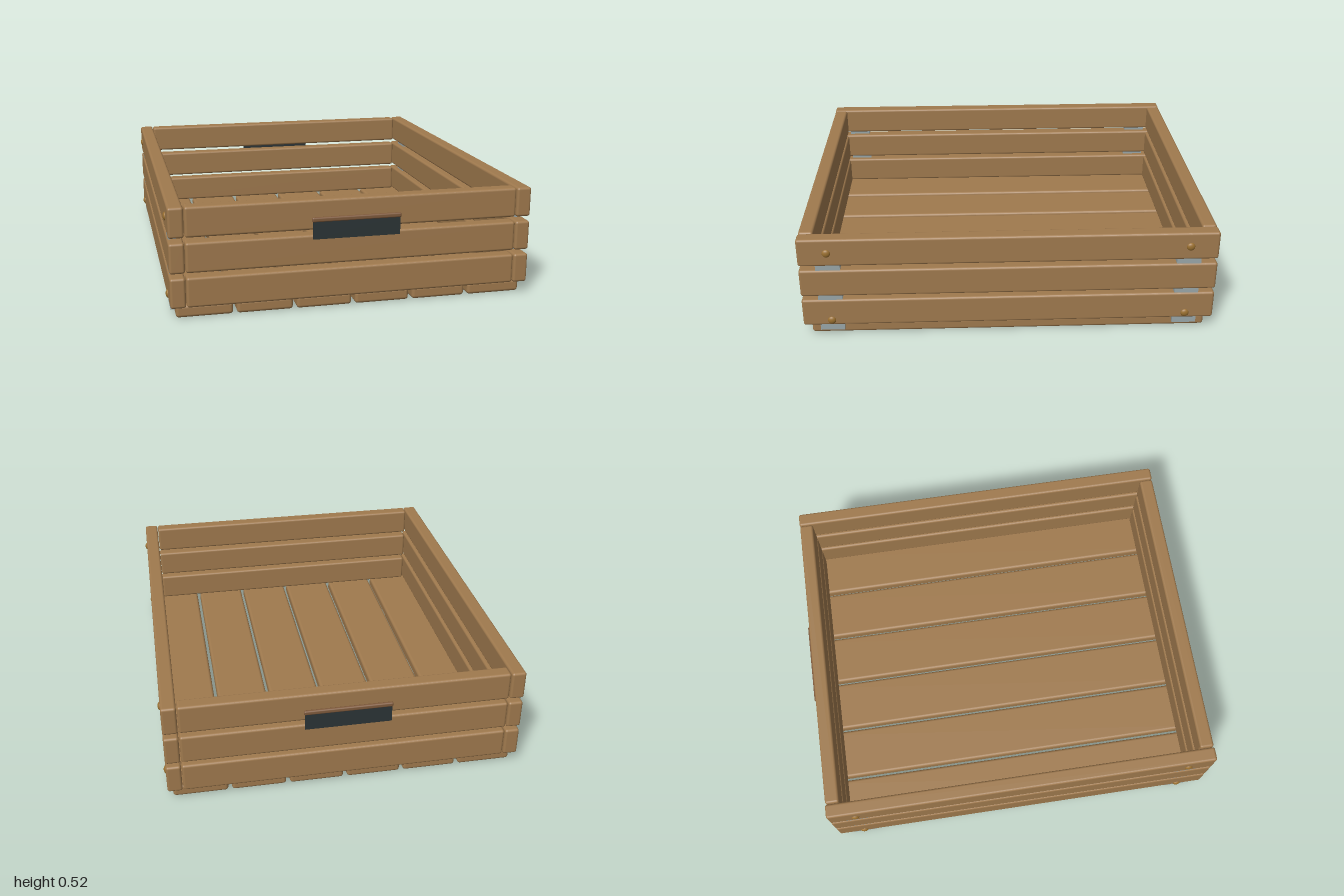
import * as THREE from 'three';
import { RoundedBoxGeometry } from 'three/addons/geometries/RoundedBoxGeometry.js';

const mat = (color) => new THREE.MeshStandardMaterial({ color });

export function createModel() {
  const crate = new THREE.Group();
  crate.name = 'slattedCrate';
  const wood = mat(0xa07a4e), steel = mat(0x9aa8aa), brass = mat(0x9a7030);
  const dark = mat(0x2b3436), trim = mat(0x7f5a3c);

  const add = (name, geometry, material, x, y, z) => {
    const mesh = new THREE.Mesh(geometry, material);
    mesh.name = name;
    mesh.position.set(x, y, z);
    crate.add(mesh);
    return mesh;
  };
  const board = (w, h, d, r = 0.012) => new RoundedBoxGeometry(w, h, d, 3, r);

  // Floor slats running front to back
  const slat = board(0.259, 0.058, 1.9, 0.015);
  for (let i = 0; i < 6; i++) add('floorSlat', slat, wood, (i - 2.5) * 0.2765, 0.034, 0);

  // Three courses of wall boards
  const endBoard = board(1.545, 0.14, 0.07);
  const sideBoard = board(0.07, 0.14, 1.97);
  for (const y of [0.132, 0.293, 0.456]) {
    for (const s of [-1, 1]) {
      add(s > 0 ? 'frontBoard' : 'backBoard', endBoard, wood, 0, y, s * 0.948);
      add(s > 0 ? 'leftBoard' : 'rightBoard', sideBoard, wood, s * 0.811, y, 0);
    }
  }

  // Metal corner straps inside the side boards, with domed screws
  const strap = new THREE.BoxGeometry(0.036, 0.43, 0.115);
  const dome = new THREE.SphereGeometry(0.02, 20, 8, 0, Math.PI * 2, 0, Math.PI / 2);
  dome.scale(1, 0.6, 1);
  for (const sx of [-1, 1]) {
    for (const sz of [-1, 1]) {
      add('cornerStrap', strap, steel, sx * 0.822, 0.247, sz * 0.848);
      for (const y of [0.09, 0.455]) {
        add('screwHead', dome, brass, sx * 0.844, y, sz * 0.848).rotation.z = -sx * Math.PI / 2;
      }
    }
  }

  // Handle plate and its top lip on both ends
  const plate = new THREE.BoxGeometry(0.406, 0.085, 0.008);
  const lip = board(0.416, 0.022, 0.018, 0.007);
  for (const s of [-1, 1]) {
    add('handlePlate', plate, dark, 0, 0.388, s * 0.992);
    add('handleLip', lip, trim, 0, 0.436, s * 0.991);
  }
  return crate;
}
